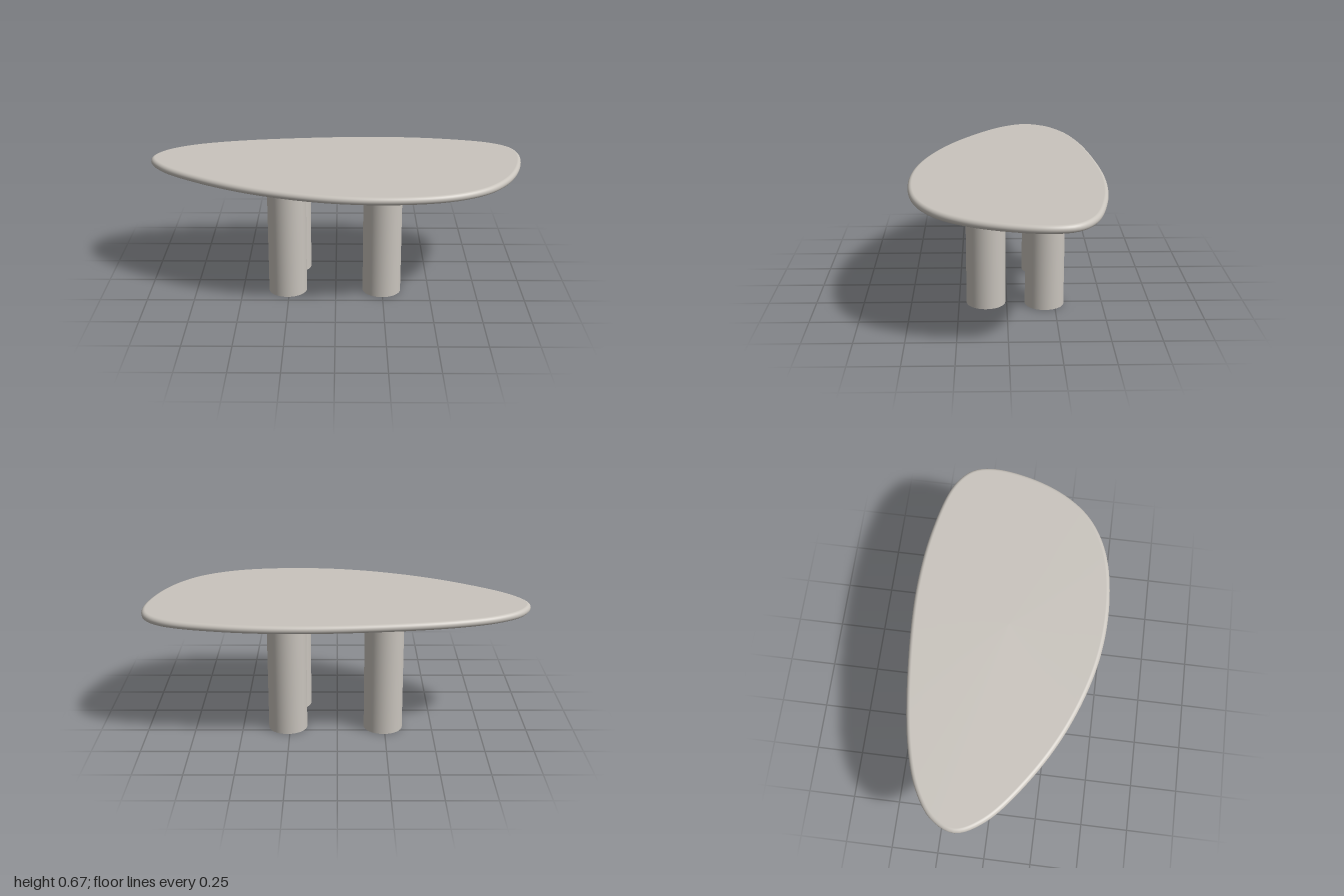
import * as THREE from 'three';

const TOP = 0.673, BOTTOM = 0.632;

// Pebble outline of the table top as [x, z], running clockwise seen from above
const OUTLINE = [
  [-1, -0.13], [-0.95, -0.25], [-0.82, -0.345], [-0.6, -0.42], [-0.2, -0.483], [0.25, -0.508],
  [0.6, -0.475], [0.87, -0.4], [0.97, -0.315], [1, -0.2], [0.965, 0.02], [0.88, 0.215],
  [0.76, 0.355], [0.57, 0.455], [0.28, 0.5], [-0.05, 0.475], [-0.4, 0.365], [-0.7, 0.2], [-0.93, 0.01],
];

// Slab with a fully rounded rim: inset copies of the outline, closed by fans
function slabGeometry() {
  const curve = new THREE.CatmullRomCurve3(OUTLINE.map(([x, z]) => new THREE.Vector3(x, 0, z)), true);
  const n = 180, rings = 12;
  const r = (TOP - BOTTOM) / 2, mid = (TOP + BOTTOM) / 2;
  const pos = [], index = [];
  for (let j = 0; j <= rings; j++) {
    const a = Math.PI * (j / rings - 0.5);
    const inset = r * (1 - Math.cos(a)), y = mid + r * Math.sin(a);
    for (let i = 0; i < n; i++) {
      const p = curve.getPointAt(i / n), t = curve.getTangentAt(i / n);
      pos.push(p.x - t.z * inset, y, p.z + t.x * inset);
    }
  }
  const low = pos.length / 3, high = low + 1, last = rings * n;
  pos.push(0.1, BOTTOM, 0, 0.1, TOP, 0);
  for (let i = 0; i < n; i++) {
    const k = (i + 1) % n;
    for (let j = 0; j < rings; j++) {
      const a = j * n + i, b = j * n + k;
      index.push(a, a + n, b, b, a + n, b + n);
    }
    index.push(low, i, k, high, last + k, last + i);
  }
  const g = new THREE.BufferGeometry();
  g.setAttribute('position', new THREE.Float32BufferAttribute(pos, 3));
  g.setIndex(index);
  g.computeVertexNormals();
  return g;
}

export function createModel() {
  const group = new THREE.Group();
  const stone = new THREE.MeshStandardMaterial({ color: 0xc9c4bd });
  stone.name = 'warm grey stone';

  const top = new THREE.Mesh(slabGeometry(), stone);
  top.name = 'tableTop';
  group.add(top);

  // Four round column legs, the back pair shifted slightly sideways
  const height = BOTTOM + 0.004;
  const legGeometry = new THREE.CylinderGeometry(0.102, 0.102, height, 64);
  const legs = {
    frontRightLeg: [-0.258, 0.109], frontLeftLeg: [0.247, 0.109],
    backRightLeg: [-0.243, -0.197], backLeftLeg: [0.262, -0.197],
  };
  for (const [name, [x, z]] of Object.entries(legs)) {
    const leg = new THREE.Mesh(legGeometry, stone);
    leg.name = name;
    leg.position.set(x, height / 2, z);
    group.add(leg);
  }
  return group;
}
